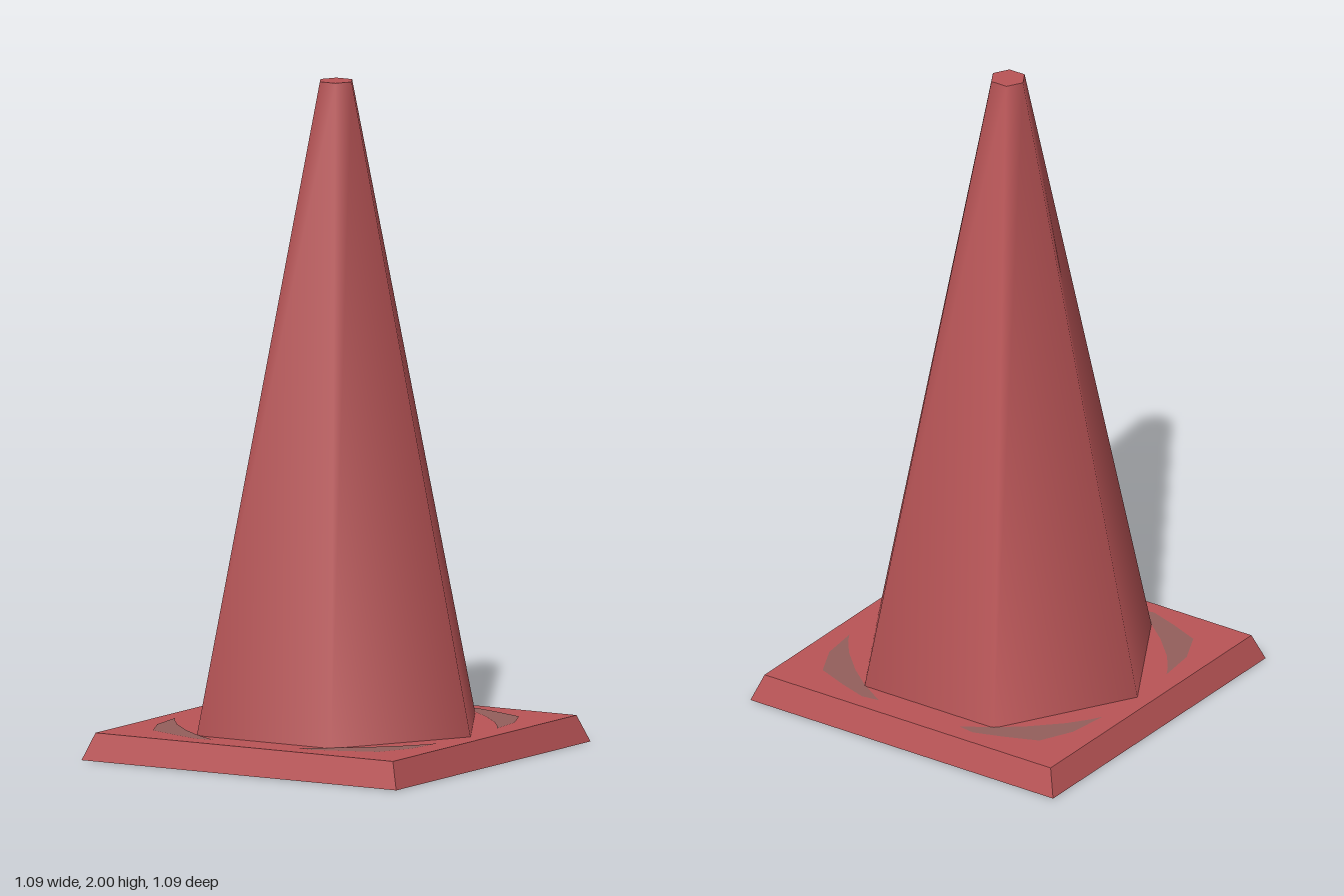
import * as THREE from 'three';

export function createModel() {
  const group = new THREE.Group();
  const red = new THREE.MeshStandardMaterial({ color: 0xb95456 });
  red.name = 'cone red';
  const scuff = new THREE.MeshStandardMaterial({ color: 0x945f5c });
  scuff.name = 'scuffed grey red';

  const add = (name, geometry, material, y) => {
    const mesh = new THREE.Mesh(geometry, material);
    mesh.name = name;
    mesh.position.y = y;
    group.add(mesh);
  };

  // square base plate with sloping sides and hard edges
  const plate = new THREE.CylinderGeometry(0.515 * Math.SQRT2, 0.545 * Math.SQRT2, 0.08, 4)
    .rotateY(Math.PI / 4).toNonIndexed();
  plate.computeVertexNormals();
  add('basePlate', plate, red, 0.04);

  // six-sided cone, smoothly shaded, with corners on the x axis
  add('coneBody', new THREE.CylinderGeometry(0.054, 0.466, 1.92, 6, 1, false, Math.PI / 2), red, 1.04);

  // crescent scuff marks, one near each corner of the plate
  const outer = [[0.145, 0.457], [0.2, 0.465], [0.29, 0.435], [0.39, 0.395], [0.44, 0.29], [0.455, 0.165]];
  const inner = [[0.435, 0.2], [0.39, 0.26], [0.31, 0.34], [0.235, 0.4]];
  for (const sx of [-1, 1]) {
    for (const sz of [-1, 1]) {
      const points = [...outer, ...inner].map(([x, z]) => new THREE.Vector2(sx * x, -sz * z));
      const mark = new THREE.ShapeGeometry(new THREE.Shape(points)).rotateX(-Math.PI / 2);
      add('scuffMark', mark, scuff, 0.082);
    }
  }
  return group;
}
